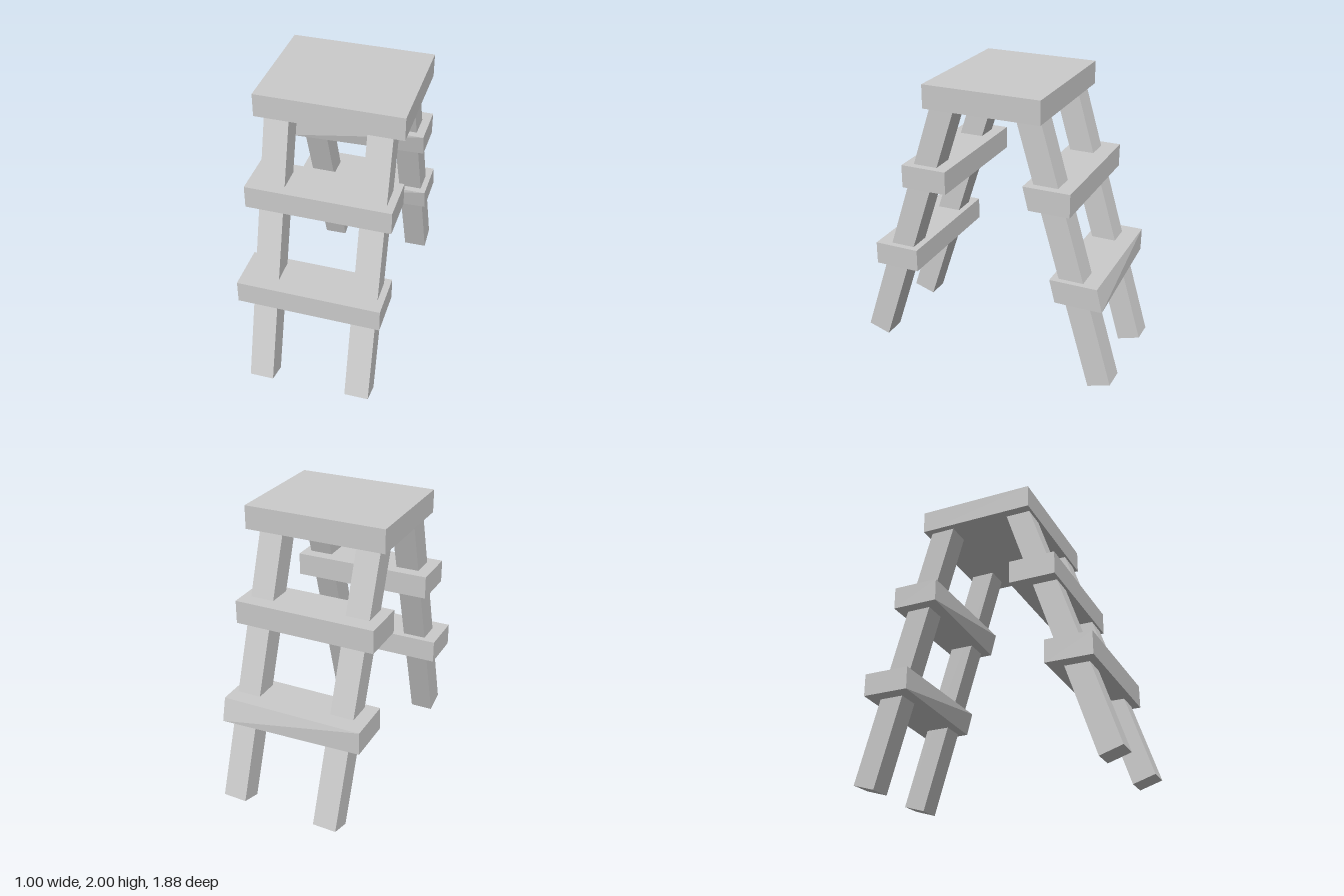
import * as THREE from 'three';

const material = new THREE.MeshStandardMaterial({ color: 0xcccccc, flatShading: true });

// Board centred in x at cx, spanning z0..z1, standing on y0.
// skewInner / skewOuter shift the lower left corners in z for the hand-cut boards.
function board(name, cx, y0, z0, z1, skewInner = 0, skewOuter = 0) {
  const geometry = new THREE.BoxGeometry(0.98, 0.16, z1 - z0);
  const p = geometry.attributes.position;
  for (let i = 0; i < p.count; i++) {
    if (p.getX(i) > 0 && p.getY(i) < 0) {
      p.setZ(i, p.getZ(i) + (p.getZ(i) > 0 ? skewInner : skewOuter));
    }
  }
  geometry.computeVertexNormals();
  const mesh = new THREE.Mesh(geometry, material);
  mesh.name = name;
  mesh.position.set(cx, y0 + 0.08, (z0 + z1) / 2);
  return mesh;
}

// Square post from the centre of its foot to the centre of its top, cut square to its axis.
function leg(name, foot, top) {
  const a = new THREE.Vector3(...foot);
  const b = new THREE.Vector3(...top);
  const yAxis = b.clone().sub(a).normalize();
  b.addScaledVector(yAxis, 0.06); // tenon into the seat
  const zAxis = new THREE.Vector3(1, 0, 0).cross(yAxis).normalize();
  const xAxis = yAxis.clone().cross(zAxis);
  const mesh = new THREE.Mesh(new THREE.BoxGeometry(0.165, a.distanceTo(b), 0.163), material);
  mesh.name = name;
  mesh.quaternion.setFromRotationMatrix(new THREE.Matrix4().makeBasis(xAxis, yAxis, zAxis));
  mesh.position.copy(a).lerp(b, 0.5);
  return mesh;
}

export function createModel() {
  const model = new THREE.Group();
  model.name = 'stepStool';

  // Seat
  model.add(board('seat', 0.006, 1.84, -0.427, 0.387));

  // Steps on both sides
  model.add(
    board('frontUpperStep', -0.013, 1.255, 0.252, 0.576),
    board('frontLowerStep', -0.013, 0.63, 0.491, 0.814),
    board('backUpperStep', -0.013, 1.255, -0.626, -0.303, -0.04, 0),
    board('backLowerStep', -0.013, 0.63, -0.825, -0.498, -0.04, -0.04)
  );

  // Splayed legs
  model.add(
    leg('frontRightLeg', [-0.322, 0.04, 0.863], [-0.337, 1.84, 0.283]),
    leg('frontLeftLeg', [0.36, 0.053, 0.862], [0.338, 1.84, 0.287]),
    leg('backRightLeg', [-0.305, 0.028, -0.856], [-0.355, 1.84, -0.297]),
    leg('backLeftLeg', [0.375, 0.052, -0.861], [0.325, 1.84, -0.307])
  );
  return model;
}
